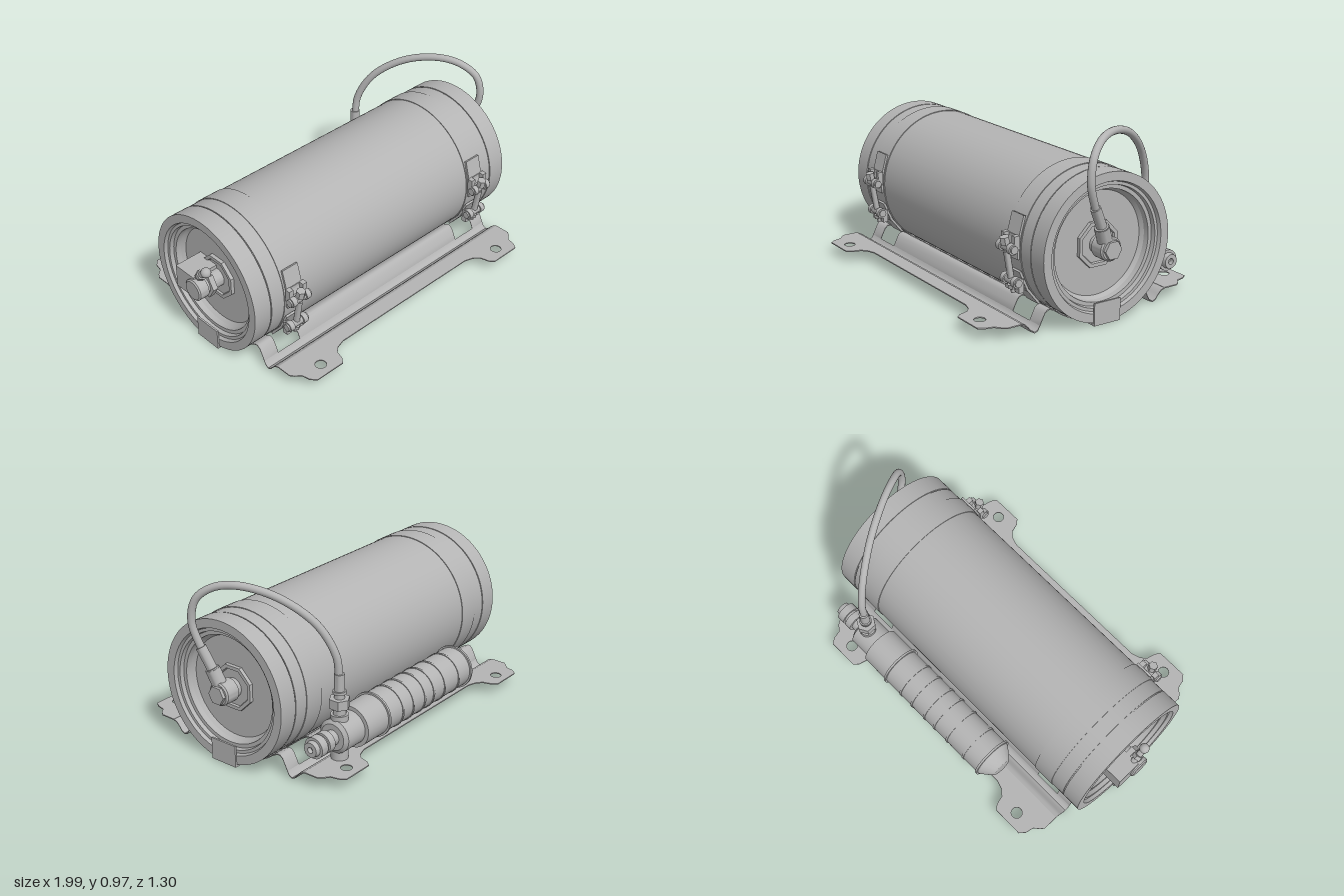
import * as THREE from 'three';
import { toCreasedNormals } from 'three/addons/utils/BufferGeometryUtils.js';

const metal = new THREE.MeshStandardMaterial({ color: 0xb4b4b4 });
metal.name = 'grey metal';
const CY = 0.392; // height of the tank axis
const V = (x, y, z) => new THREE.Vector3(x, y, z);

export function createModel() {
  const root = new THREE.Group();
  root.name = 'mountedTank';

  function add(name, geo, parent = root) {
    const m = new THREE.Mesh(geo, metal);
    m.name = name;
    parent.add(m);
    return m;
  }

  // Body turned around an axis along x; points are [x, radius] from -x to +x
  function turned(name, pts, y, z, seg = 48, phase = 0) {
    const g = new THREE.LatheGeometry(pts.map(([x, r]) => new THREE.Vector2(r, x)), seg, phase);
    g.rotateZ(-Math.PI / 2);
    return add(name, toCreasedNormals(g, 0.35).translate(0, y, z));
  }

  // Round or hexagonal rod between two points
  function rod(name, a, b, r, seg = 24, parent = root) {
    const g = toCreasedNormals(new THREE.CylinderGeometry(r, r, a.distanceTo(b), seg), 0.6);
    const m = add(name, g, parent);
    m.position.copy(a).add(b).multiplyScalar(0.5);
    m.quaternion.setFromUnitVectors(V(0, 1, 0), b.clone().sub(a).normalize());
    return m;
  }

  function box(name, w, h, d, x, y, z, parent = root) {
    const m = add(name, new THREE.BoxGeometry(w, h, d), parent);
    m.position.set(x, y, z);
    return m;
  }

  // Tank shell with recessed ends and two shallow seams
  turned('tankShell', [
    [-0.82, 0], [-0.82, 0.27], [-0.84, 0.285], [-0.87, 0.288], [-0.87, 0.308], [-0.893, 0.312],
    [-0.893, 0.328], [-0.912, 0.335], [-0.912, 0.382], [-0.808, 0.382], [-0.808, 0.376],
    [-0.802, 0.376], [-0.802, 0.381], [0.822, 0.381], [0.822, 0.376], [0.828, 0.376],
    [0.828, 0.382], [0.932, 0.382], [0.932, 0.335], [0.913, 0.328], [0.913, 0.312],
    [0.89, 0.308], [0.89, 0.288], [0.86, 0.285], [0.84, 0.27], [0.84, 0],
  ], CY, 0, 96);

  // Retaining clips under both rims
  for (const [s, x] of [[1, 0.936], [-1, -0.916]]) {
    box('rimClipFace', 0.01, 0.112, 0.16, x, 0.066, 0);
    box('rimClipFoot', 0.1, 0.01, 0.16, x - s * 0.045, 0.009, 0);
  }

  // Octagonal plates on both end caps
  const oct = Math.PI / 8;
  turned('rightOctagonPlate', [[0.83, 0.125], [0.86, 0.125], [0.86, 0.105], [0.85, 0.1], [0.85, 0]], CY, 0, 8, oct);
  turned('leftOctagonPlate', [[-0.83, 0], [-0.83, 0.1], [-0.84, 0.105], [-0.84, 0.125], [-0.81, 0.125]], CY, 0, 8, oct);

  // Hose connection on the right end
  turned('outletBoss', [[0.84, 0.05], [0.88, 0.05], [0.88, 0.062], [0.955, 0.062], [0.963, 0.054], [0.963, 0]], CY, 0);
  rod('outletHexBolt', V(0.95, CY, 0), V(0.98, CY, 0), 0.05, 6);
  rod('outletNeck', V(0.925, 0.4, 0.005), V(0.943, 0.51, 0.05), 0.038);
  rod('outletCollar', V(0.942, 0.5, 0.046), V(0.945, 0.515, 0.053), 0.036);
  rod('lowerHoseSleeve', V(0.944, 0.51, 0.05), V(0.962, 0.62, 0.105), 0.027);

  // Flexible hose arching over to the bottle
  const path = new THREE.CatmullRomCurve3([
    V(0.945, 0.51, 0.05), V(0.962, 0.62, 0.105), V(0.978, 0.75, 0.145), V(0.966, 0.87, 0.122),
    V(0.92, 0.937, 0.04), V(0.86, 0.952, -0.08), V(0.77, 0.9, -0.25), V(0.68, 0.775, -0.4),
    V(0.632, 0.62, -0.475), V(0.62, 0.5, -0.484),
  ]);
  add('hose', new THREE.TubeGeometry(path, 80, 0.02, 16));

  // Charge bottle behind the tank, with raised bands and valve head
  const BY = 0.2, BZ = -0.486;
  const profile = [[-0.45, 0], [-0.45, 0.05], [-0.44, 0.065], [-0.385, 0.108]];
  for (const x of [-0.37, -0.26, -0.13, -0.03, 0.05, 0.15, 0.24, 0.36]) {
    const r = Math.abs(x) > 0.3 ? 0.121 : 0.115;
    profile.push([x - 0.006, 0.111], [x - 0.006, r], [x + 0.006, r], [x + 0.006, 0.111]);
  }
  profile.push([0.53, 0.111], [0.53, 0.09], [0.66, 0.09], [0.675, 0.07], [0.675, 0.04],
    [0.72, 0.04], [0.72, 0.056], [0.76, 0.056], [0.76, 0.045], [0.775, 0.045], [0.775, 0.056],
    [0.82, 0.056], [0.82, 0.042], [0.845, 0.038], [0.845, 0.016], [0.82, 0.016], [0.82, 0]);
  turned('chargeBottle', profile, BY, BZ);

  // Vertical fittings on the valve head
  const stack = [[0.27, 0.31, 0.045, 24], [0.3, 0.35, 0.033, 24], [0.345, 0.395, 0.054, 6],
    [0.39, 0.43, 0.026, 24], [0.42, 0.435, 0.034, 24], [0.43, 0.525, 0.026, 24],
    [0.06, 0.12, 0.044, 24], [0.044, 0.065, 0.04, 6]];
  for (const [y0, y1, r, n] of stack) rod('valveFitting', V(0.62, y0, BZ), V(0.62, y1, BZ), r, n);

  // Valve block, cap and bleeder on the left end
  box('valveBlock', 0.16, 0.13, 0.14, -0.9, CY + 0.005, -0.075);
  turned('valveCap', [[-0.995, 0], [-0.995, 0.052], [-0.988, 0.06], [-0.935, 0.06], [-0.935, 0.05], [-0.82, 0.05]], CY, 0);
  rod('valveHexCollar', V(-0.92, CY, 0), V(-0.89, CY, 0), 0.075, 6);
  rod('bleederStem', V(-0.95, 0.43, -0.03), V(-0.95, 0.52, 0.06), 0.018);
  rod('bleederCollar', V(-0.95, 0.47, 0.01), V(-0.95, 0.488, 0.028), 0.028, 6);
  add('bleederTip', new THREE.SphereGeometry(0.027, 20, 14)).position.set(-0.95, 0.52, 0.062);

  // Bracket: thin pressed sheet, profile points are [z, y]
  const X0 = -0.83, X1 = 0.847, T = 0.006;
  const straps = [[-0.72, -0.6], [0.63, 0.745]];
  const lip = [[0.45, 0.068], [0.425, 0.06], [0.405, 0.04], [0.388, 0.018], [0.37, 0.009], [0.352, 0.016], [0.34, 0.036]];
  const crest = [[0.34, 0.036], [0.325, 0.067], [0.31, 0.096], [0.295, 0.109], [0.28, 0.111], [0.262, 0.103], [0.24, 0.09]];
  const cradle = [];
  for (let i = 0; i <= 12; i++) {
    const z = 0.24 * (1 - i / 12);
    cradle.push([z, CY - Math.sqrt(0.386 ** 2 - z * z)]);
  }
  function sheet(name, pts, side, xa, xb) {
    const top = pts.map(([z, y]) => new THREE.Vector2(z * side, y));
    const under = pts.map(([z, y]) => new THREE.Vector2(z * side, y - T)).reverse();
    const g = new THREE.ExtrudeGeometry(new THREE.Shape([...top, ...under]), { depth: xb - xa, bevelEnabled: false });
    add(name, toCreasedNormals(g.rotateY(-Math.PI / 2).translate(xb, 0, 0), 0.7));
  }
  const outline = [
    [X0, 0.445], [X0, 0.53], [-0.815, 0.55], [-0.785, 0.575], [-0.775, 0.62], [-0.75, 0.65],
    [-0.575, 0.65], [-0.553, 0.625], [-0.54, 0.575], [-0.51, 0.548], [-0.46, 0.532],
    [0.48, 0.532], [0.53, 0.548], [0.56, 0.575], [0.573, 0.625], [0.595, 0.65],
    [0.77, 0.65], [0.79, 0.62], [0.8, 0.575], [0.832, 0.55], [X1, 0.53], [X1, 0.445]];
  for (const side of [1, -1]) {
    sheet('bracketLip', lip, side, X0, X1);
    sheet('bracketCradle', cradle, side, X0, X1);
    // Crest is interrupted by windows for the straps
    const edges = [X0, straps[0][0] - 0.015, straps[0][1] + 0.015, straps[1][0] - 0.015, straps[1][1] + 0.015, X1];
    for (let i = 0; i < 6; i += 2) sheet('bracketCrest', crest, side, edges[i], edges[i + 1]);

    // Mounting flange with four-bolt ears
    const s = new THREE.Shape(outline.map(([x, z]) => new THREE.Vector2(x, z * side)));
    for (const x of [-0.662, 0.683]) s.holes.push(new THREE.Path().absarc(x, 0.58 * side, 0.03, 0, Math.PI * 2));
    const g = new THREE.ExtrudeGeometry(s, { depth: T, bevelEnabled: false, curveSegments: 16 });
    add('mountingFlange', g.rotateX(Math.PI / 2).translate(0, 0.068, 0));
  }

  // Clamp straps with tension latches on the front
  for (const [a, b] of straps) {
    turned('clampStrap', [[a, 0.379], [a, 0.385], [b, 0.385], [b, 0.379]], CY, 0, 96);
    const latch = new THREE.Group();
    latch.name = 'strapLatch';
    latch.position.x = (a + b) / 2;
    root.add(latch);
    // Strap end plates lying against the tank
    for (const [ang, h] of [[0.27, 0.15], [0.05, 0.12], [-0.42, 0.12], [-0.68, 0.12]]) {
      const r = 0.39;
      box('strapEndPlate', 0.1, h, 0.012, 0, CY + r * Math.sin(ang), r * Math.cos(ang), latch).rotation.x = -ang;
    }
    // Upper and lower trunnions with strap loops on either side
    for (const [y, z] of [[0.41, 0.425], [0.235, 0.4]]) {
      rod('trunnion', V(-0.068, y, z), V(0.068, y, z), 0.02, 16, latch);
      for (const x of [-0.045, 0.045]) {
        rod('strapLoop', V(x - 0.014, y, z), V(x + 0.014, y, z), 0.028, 16, latch);
        box('loopTab', 0.028, 0.07, 0.03, x, y + (y > 0.3 ? 0.03 : -0.02), z - 0.02, latch);
      }
    }
    rod('tensionBolt', V(0, 0.17, 0.388), V(0, 0.46, 0.44), 0.011, 12, latch);
    rod('boltSleeve', V(0, 0.25, 0.402), V(0, 0.39, 0.427), 0.017, 12, latch);
    rod('boltHead', V(0, 0.425, 0.434), V(0, 0.465, 0.441), 0.025, 6, latch);
    rod('lowerNut', V(0, 0.195, 0.392), V(0, 0.215, 0.396), 0.024, 6, latch);
  }
  return root;
}
